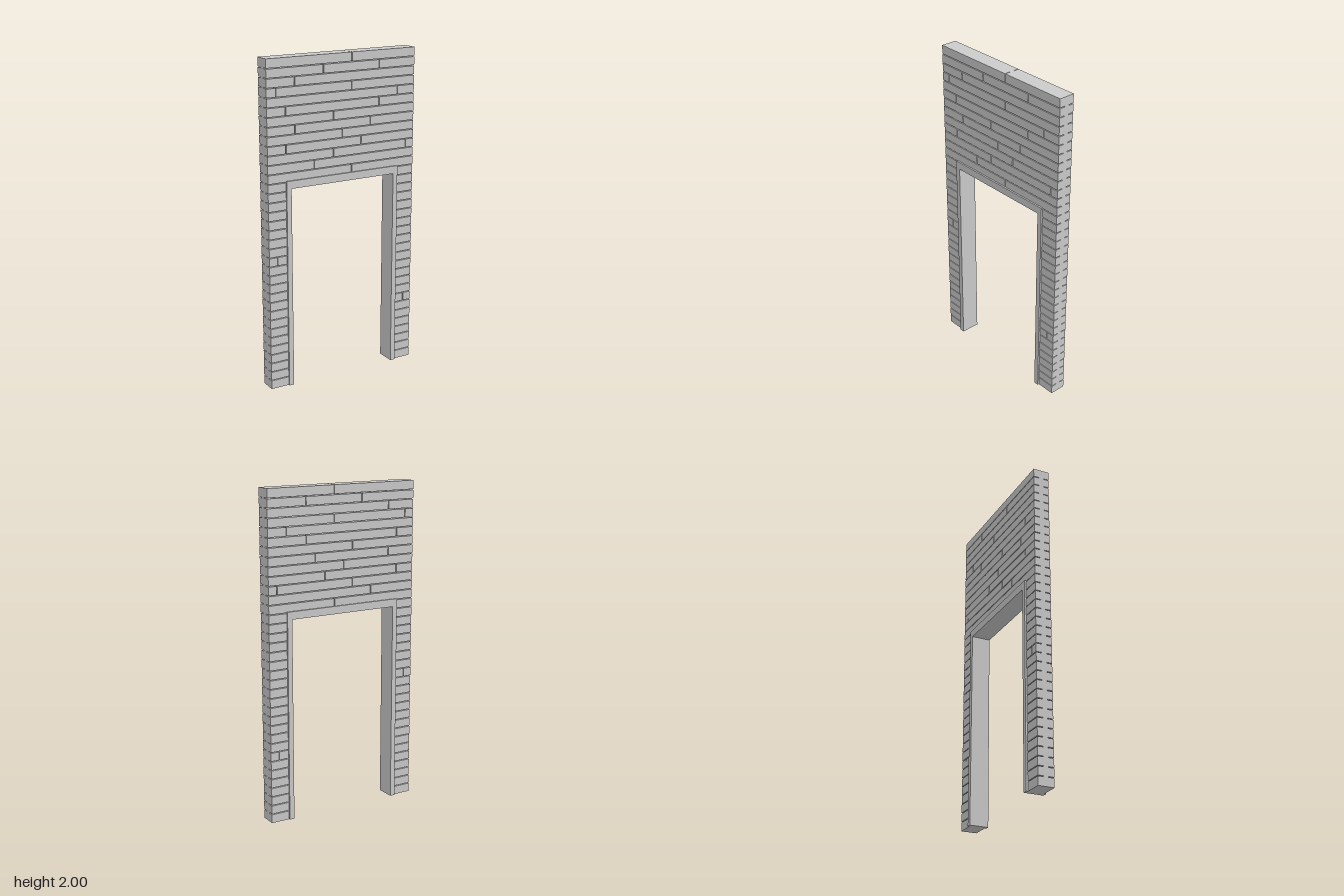
import * as THREE from 'three';

const ROWS = 36, ROW_H = 2 / ROWS, GAP = 0.005;
const HALF_W = 0.5, HALF_D = 0.05, CORE = 0.015;
const DOOR_X = 0.37, LINTEL_ROWS = 13; // rows above the doorway

// Vertical joints per row, counted from the top
const JOINTS = {
  0: [0.06], 1: [-0.13, 0.25], 2: [-0.32], 3: [-0.44, 0.06], 4: [0.38], 5: [-0.38, 0.25],
  6: [-0.065], 7: [-0.32, 0.19], 8: [-0.005], 9: [-0.38, 0.125], 10: [-0.065, 0.445],
  11: [-0.195], 12: [0.06], 21: [-0.445], 28: [0.445],
};

// Upside-down U outline standing on y = 0
function archShape(outX, outY, inX, inY) {
  return new THREE.Shape([
    [-outX, 0], [-inX, 0], [-inX, inY], [inX, inY],
    [inX, 0], [outX, 0], [outX, outY], [-outX, outY],
  ].map(([x, y]) => new THREE.Vector2(x, y)));
}

function archMesh(name, shape, halfDepth, material) {
  const geo = new THREE.ExtrudeGeometry(shape, { depth: halfDepth * 2, bevelEnabled: false });
  geo.translate(0, 0, -halfDepth);
  const mesh = new THREE.Mesh(geo, material);
  mesh.name = name;
  return mesh;
}

export function createModel() {
  const material = new THREE.MeshStandardMaterial({ color: 0xcccccc });
  const model = new THREE.Group();
  model.name = 'plankWallWithDoorway';

  // Core that shows at the bottom of the grooves
  model.add(archMesh('wallCore', archShape(HALF_W, 2, DOOR_X, 1.26), CORE, material));

  // Planks on both faces, split at the joints
  const planks = new THREE.Group();
  planks.name = 'planks';
  model.add(planks);
  const depth = HALF_D - CORE;
  for (let row = 0; row < ROWS; row++) {
    const spans = row < LINTEL_ROWS
      ? [[-HALF_W, HALF_W]]
      : [[-HALF_W, -DOOR_X], [DOOR_X, HALF_W]];
    const top = 2 - row * ROW_H - (row === 0 ? 0 : GAP / 2);
    const bottom = 2 - (row + 1) * ROW_H + (row === ROWS - 1 ? 0 : GAP / 2);
    for (const [start, end] of spans) {
      const cuts = (JOINTS[row] || []).filter((x) => x > start && x < end);
      const stops = [start, ...cuts, end];
      for (let i = 0; i < stops.length - 1; i++) {
        const x0 = stops[i] + (i > 0 ? GAP / 2 : 0);
        const x1 = stops[i + 1] - (i < stops.length - 2 ? GAP / 2 : 0);
        const geo = new THREE.BoxGeometry(x1 - x0, top - bottom, depth);
        for (const side of [1, -1]) {
          const plank = new THREE.Mesh(geo, material);
          plank.name = side > 0 ? 'frontPlank' : 'backPlank';
          plank.position.set((x0 + x1) / 2, (top + bottom) / 2, side * (CORE + depth / 2));
          planks.add(plank);
        }
      }
    }
  }

  // Door frame, slightly proud of both faces
  model.add(archMesh('doorFrame', archShape(0.383, 1.285, 0.352, 1.238), 0.06, material));
  return model;
}
